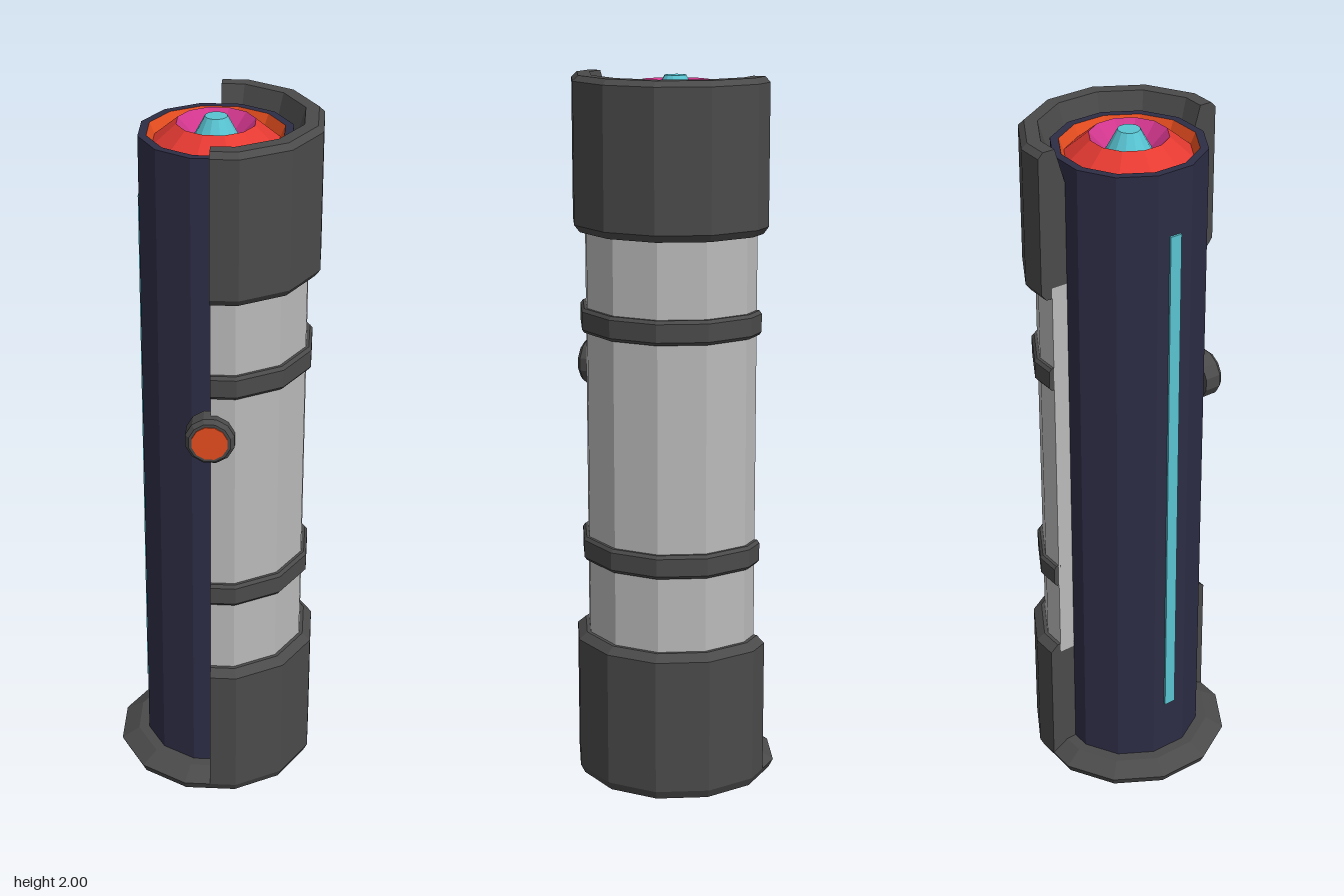
import * as THREE from 'three';

const flat = (name, color) => {
  const m = new THREE.MeshStandardMaterial({ color });
  m.name = name;
  m.flatShading = true;
  return m;
};

// Twelve-sided turned surface; radii are measured to the middle of each flat.
// The half version covers x > 0 and is cut through the middle of two flats.
function turned(profile, half = false) {
  const segments = half ? 12 : 24;
  const points = profile.map(([r, y]) => new THREE.Vector2(r, y));
  const geo = new THREE.LatheGeometry(points, segments, 0, half ? Math.PI : Math.PI * 2);
  const pos = geo.attributes.position;
  const k = 1 / Math.cos(Math.PI / 12);
  for (let i = 0; i < pos.count; i++) {
    const ring = Math.floor(i / points.length);
    if (ring % 2) pos.setXYZ(i, pos.getX(i) * k, pos.getY(i), pos.getZ(i) * k);
  }
  geo.computeVertexNormals();
  return geo;
}

export function createModel() {
  const model = new THREE.Group();
  model.name = 'canister';

  const charcoal = flat('charcoal', 0x4a4a4a);
  const silver = flat('silver', 0xbababa);
  const navy = flat('navy', 0x2d2d46);
  const orange = flat('orange', 0xea4f20);
  const red = flat('red', 0xe53a32);
  const magenta = flat('magenta', 0xd0368c);
  const cyan = flat('cyan', 0x58c4d2);

  const add = (name, geo, mat, parent = model) => {
    const mesh = new THREE.Mesh(geo, mat);
    mesh.name = name;
    parent.add(mesh);
    return mesh;
  };

  // Half shell part: turned wall plus the two flat cut faces at x = 0
  const addHalf = (name, outline, mat) => {
    const part = new THREE.Group();
    part.name = name;
    add(name + 'Wall', turned([...outline, outline[0]], true), mat, part);
    for (const side of [1, -1]) {
      const shape = new THREE.Shape(outline.map(([r, y]) => new THREE.Vector2(side * r, y)));
      const face = add(name + 'CutFace', new THREE.ShapeGeometry(shape), mat, part);
      face.rotation.y = -Math.PI / 2;
    }
    model.add(part);
  };

  // Base plate
  add('basePlate', turned([[0, 0], [0.268, 0], [0.28, 0.025], [0.23, 0.055], [0, 0.055]]), charcoal);

  // Inner core with its stepped top
  add('core', turned([[0.2, 0.05], [0.2, 1.955], [0.178, 1.955]]), navy);
  add('outerFunnel', turned([[0.178, 1.955], [0.165, 1.925]]), orange);
  add('raisedRing', turned([[0.165, 1.925], [0.102, 1.98]]), red);
  add('innerFunnel', turned([[0.102, 1.98], [0.06, 1.935]]), magenta);
  add('nozzle', turned([[0.06, 1.935], [0.029, 1.995], [0, 1.995]]), cyan);

  // Light strip on the exposed side of the core
  add('lightStrip', new THREE.BoxGeometry(0.008, 1.55, 0.034), cyan).position.set(-0.202, 1, 0);

  // Half shell: grip, end caps and bands
  const inner = 0.2;
  addHalf('grip', [[inner, 0.4], [0.247, 0.4], [0.247, 1.61], [inner, 1.61]], silver);
  addHalf('lowerCap', [[inner, 0.004], [0.268, 0.004], [0.28, 0.025], [0.28, 0.41],
    [0.257, 0.43], [inner, 0.43]], charcoal);
  addHalf('upperCap', [[inner, 1.58], [0.265, 1.58], [0.28, 1.6], [0.28, 1.985],
    [0.265, 2], [0.23, 2], [inner, 1.9]], charcoal);
  for (const y of [0.68, 1.335]) {
    addHalf('band', [[0.24, y - 0.034], [0.255, y - 0.034], [0.262, y - 0.025],
      [0.262, y + 0.025], [0.255, y + 0.034], [0.24, y + 0.034]], charcoal);
  }

  // Front button
  const button = new THREE.Group();
  button.name = 'button';
  button.position.set(0, 1.18, 0.22);
  button.rotation.x = Math.PI / 2;
  add('buttonHousing', turned([[0, 0], [0.066, 0], [0.066, 0.048], [0.056, 0.06], [0, 0.06]]), charcoal, button);
  add('buttonFace', turned([[0.048, 0.06], [0.048, 0.063], [0, 0.063]]), orange, button);
  model.add(button);

  return model;
}
